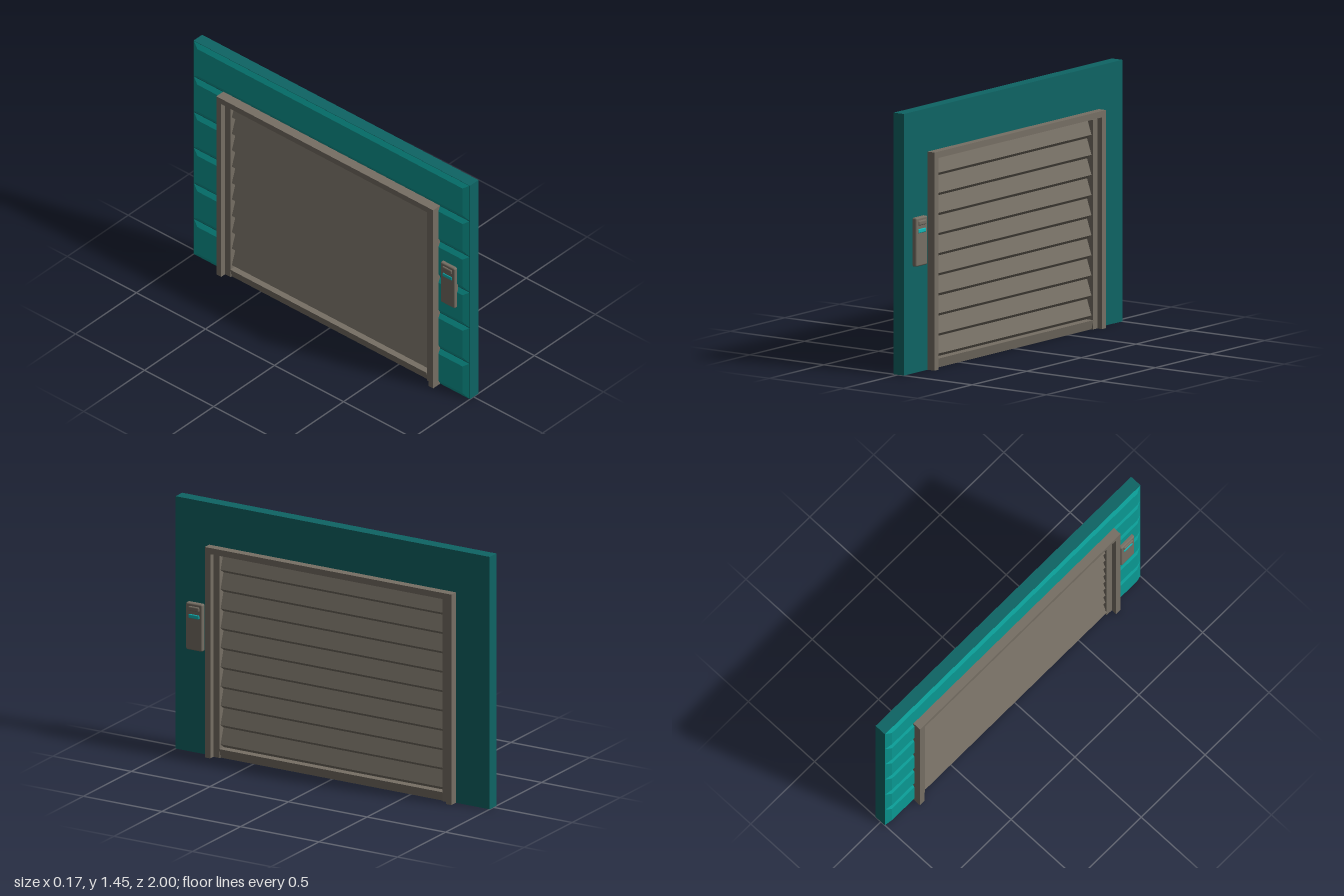
import * as THREE from 'three';
import { RoundedBoxGeometry } from 'three/addons/geometries/RoundedBoxGeometry.js';

const mat = (name, color) => {
  const m = new THREE.MeshStandardMaterial({ color });
  m.name = name;
  return m;
};

export function createModel() {
  const model = new THREE.Group();
  model.name = 'shutterDoorWall';
  const wallMat = mat('dark teal', 0x0e6464);
  const panelMat = mat('bright teal', 0x0a9a94);
  const metalMat = mat('warm grey', 0x766f64);
  const lightMat = mat('cyan', 0x12b8b8);

  const add = (name, geometry, material, x = 0, y = 0, z = 0, parent = model) => {
    const mesh = new THREE.Mesh(geometry, material);
    mesh.name = name;
    mesh.position.set(x, y, z);
    parent.add(mesh);
    return mesh;
  };
  // Box given by its minimum and maximum corners
  const block = (name, a, b, material) => add(name,
    new THREE.BoxGeometry(b[0] - a[0], b[1] - a[1], b[2] - a[2]), material,
    (a[0] + b[0]) / 2, (a[1] + b[1]) / 2, (a[2] + b[2]) / 2);
  // Cross-section in x and y, run along z
  const bar = (name, points, length, material) => {
    const g = new THREE.ExtrudeGeometry(
      new THREE.Shape(points.map(p => new THREE.Vector2(...p))), { depth: length, bevelEnabled: false });
    return add(name, g, material, 0, 0, -length / 2);
  };

  // Wall with a doorway
  const H = 1.445;
  const outline = [[-1, 0], [-0.77, 0], [-0.77, 1.19], [0.77, 1.19], [0.77, 0], [1, 0], [1, H], [-1, H]];
  const wallGeo = new THREE.ExtrudeGeometry(
    new THREE.Shape(outline.map(p => new THREE.Vector2(...p))), { depth: 0.07, bevelEnabled: false });
  wallGeo.rotateY(-Math.PI / 2);
  add('wall', wallGeo, wallMat, 0.04);

  // Bevelled cladding on the -x side
  const cladding = (y0, y1, z0, z1) => {
    const g = new THREE.BoxGeometry(0.016, y1 - y0, z1 - z0);
    g.translate(-0.037, (y0 + y1) / 2, (z0 + z1) / 2);
    const p = g.attributes.position;
    for (let i = 0; i < p.count; i++) {
      if (p.getX(i) > -0.037) continue;
      const y = p.getY(i), z = p.getZ(i);
      p.setY(i, y + (y > (y0 + y1) / 2 ? -0.03 : 0.03));
      if (Math.abs(z) > 0.99) p.setZ(i, z - Math.sign(z) * 0.04);
    }
    g.computeVertexNormals();
    add('claddingPanel', g, panelMat);
  };
  const step = H / 6;
  for (let i = 0; i < 5; i++) {
    cladding(i * step, (i + 1) * step, 0.77, 1);
    cladding(i * step, (i + 1) * step, -1, -0.77);
  }
  cladding(5 * step, H, -1, 1);

  // Door frame and guide rails
  const F = 0.0875;
  for (const s of [-1, 1]) {
    const span = (a, b) => (s > 0 ? [a, b] : [-b, -a]);
    const [j0, j1] = span(0.75, 0.785);
    block('frameJamb', [-F, 0, j0], [F, 1.205, j1], metalMat);
    const [g0, g1] = span(0.71, 0.75);
    block('guideRail', [-0.055, 0, g0], [0.055, 1.158, g1], metalMat);
  }
  block('frameHeader', [-F, 1.17, -0.75], [F, 1.205, 0.75], metalMat);

  // Shutter curtain: a double-sided sawtooth of slats
  const side = [[0.015, 0.02]];
  for (let i = 0; i < 10; i++) {
    const y = 0.111 * i;
    side.push([0.015, 0.054 + y], [0.045, 0.076 + y]);
  }
  side.push([0.015, 1.164]);
  const mirrored = side.map(([x, y]) => [-x, y]).reverse();
  bar('shutterSlats', [...side, ...mirrored], 1.43, metalMat);

  // Bottom bar, tapering to the floor
  bar('bottomBar', [[-0.045, 0], [0.045, 0], [0.058, 0.052], [-0.058, 0.052]], 1.42, metalMat);

  // Control boxes on both sides of the wall
  for (const s of [-1, 1]) {
    const box = new THREE.Group();
    box.name = 'controlBox';
    box.position.set(s * 0.048, 0.725, 0.868);
    model.add(box);
    add('controlCase', new RoundedBoxGeometry(0.034, 0.27, 0.105, 3, 0.009), metalMat, 0, 0, 0, box);
    add('controlButton', new RoundedBoxGeometry(0.02, 0.028, 0.07, 3, 0.008), metalMat, s * 0.014, 0.104, 0, box);
    add('controlLight', new RoundedBoxGeometry(0.018, 0.024, 0.07, 3, 0.006), lightMat, s * 0.012, 0.06, 0, box);
  }
  return model;
}
